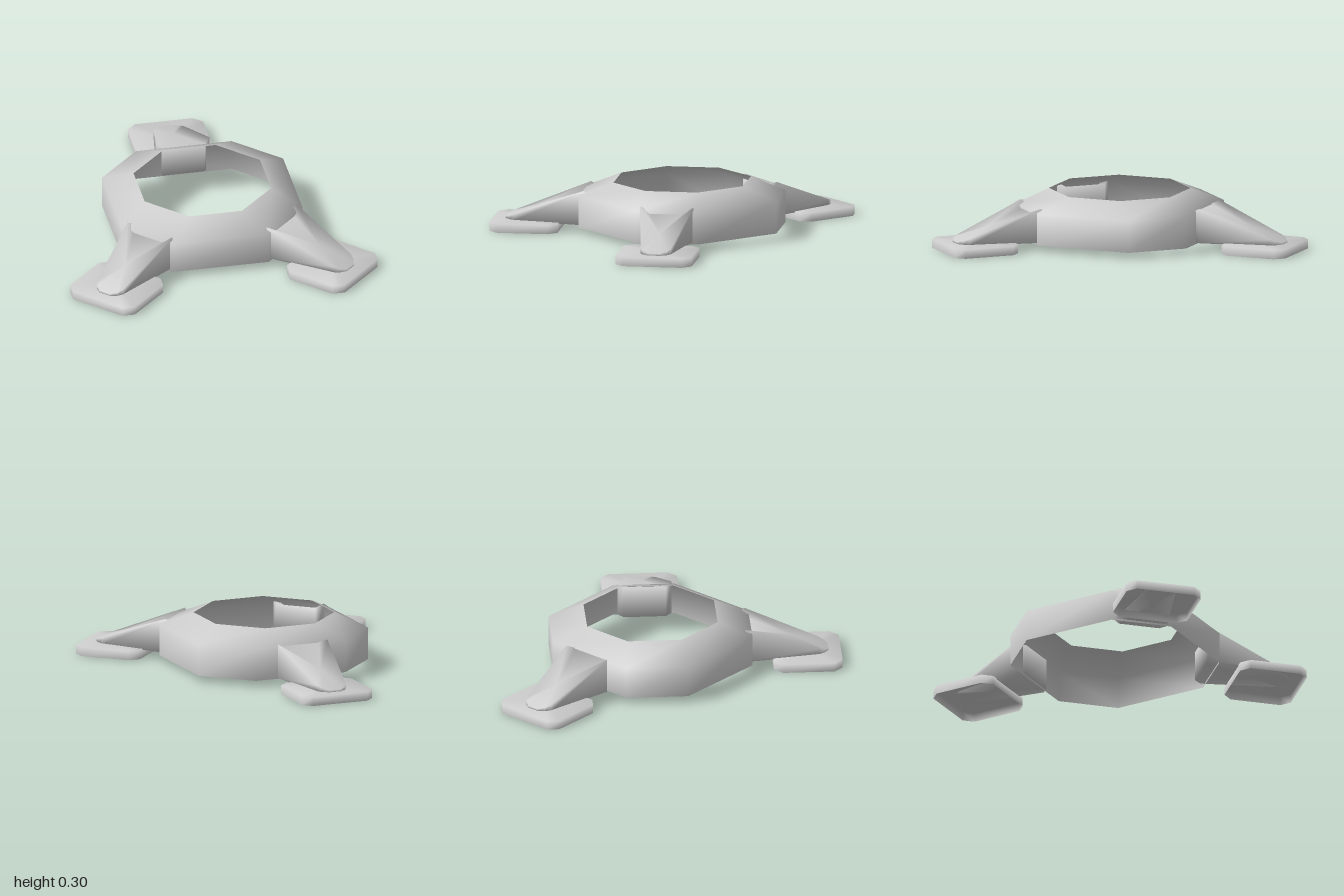
import * as THREE from 'three';

const material = new THREE.MeshStandardMaterial({ color: 0xcccccc, side: THREE.DoubleSide });

// Rectangle with cut corners, as [x, z] points
function cutRect(hx, hz, c) {
  const x = hx - c, z = hz - c;
  return [[hx, -z], [hx, z], [x, hz], [-x, hz], [-hx, z], [-hx, -z], [-x, -hz], [x, -hz]];
}

// Puts an outline at a height; the height may be a function of z
function level(outline, y) {
  return outline.map(([x, z]) => [x, typeof y === 'function' ? y(z) : y, z]);
}

// Smooth skin through stacked loops, with optional caps
function loft(name, loops, { top = false, bottom = false } = {}) {
  const n = loops[0].length;
  const points = loops.flat();
  const index = [];
  for (let r = 0; r < loops.length - 1; r++) {
    for (let i = 0; i < n; i++) {
      const a = r * n + i, b = r * n + (i + 1) % n;
      index.push(a, a + n, b, b, a + n, b + n);
    }
  }
  const cap = (row, up) => {
    const m = points.length;
    points.push([0, 1, 2].map(k => loops[row].reduce((s, p) => s + p[k], 0) / n));
    for (let i = 0; i < n; i++) {
      const a = row * n + i, b = row * n + (i + 1) % n;
      index.push(...(up ? [a, m, b] : [a, b, m]));
    }
  };
  if (top) cap(loops.length - 1, true);
  if (bottom) cap(0, false);
  const geometry = new THREE.BufferGeometry();
  geometry.setAttribute('position', new THREE.Float32BufferAttribute(points.flat(), 3));
  geometry.setIndex(index);
  geometry.computeVertexNormals();
  const mesh = new THREE.Mesh(geometry, material);
  mesh.name = name;
  return mesh;
}

// Sloping strut on a flat foot, pointing out along +z
function createLeg(name, x, z, turn) {
  const leg = new THREE.Group();
  leg.name = name;

  const pad = cutRect(0.22, 0.1975, 0.05);
  leg.add(loft('foot', [level(pad, 0), level(pad, 0.052)], { top: true }));

  const side = [[0.12, -0.385], [0.155, -0.345], [0.088, 0.07], [0.07, 0.1], [0.035, 0.125]];
  const outline = [...side, ...side.map(([px, pz]) => [-px, pz]).reverse()];
  const slope = pz => (pz < -0.36 ? 0.225 : 0.245 - (pz + 0.345) * 0.385);
  leg.add(loft('strut', [level(outline, 0.046), level(outline, slope)], { top: true, bottom: true }));

  leg.position.set(x, 0, z);
  leg.rotation.y = turn;
  return leg;
}

export function createModel() {
  const model = new THREE.Group();
  model.name = 'threeLeggedStand';

  // Hollow eight-sided ring: upright wall and sloping top, open below
  const outer = cutRect(0.53, 0.53, 0.25);
  const inner = cutRect(0.37, 0.375, 0.215);
  const ring = loft('ring', [level(outer, 0.035), level(outer, 0.22), level(inner, 0.3)]);
  ring.position.z = 0.1;
  model.add(ring);

  // One leg at the back, two mirrored at the front
  model.add(createLeg('backLeg', 0, -0.8025, Math.PI));
  for (const s of [1, -1]) {
    model.add(createLeg(s > 0 ? 'frontLeftLeg' : 'frontRightLeg', s * 0.63, 0.735, s * Math.PI / 4));
  }
  return model;
}
